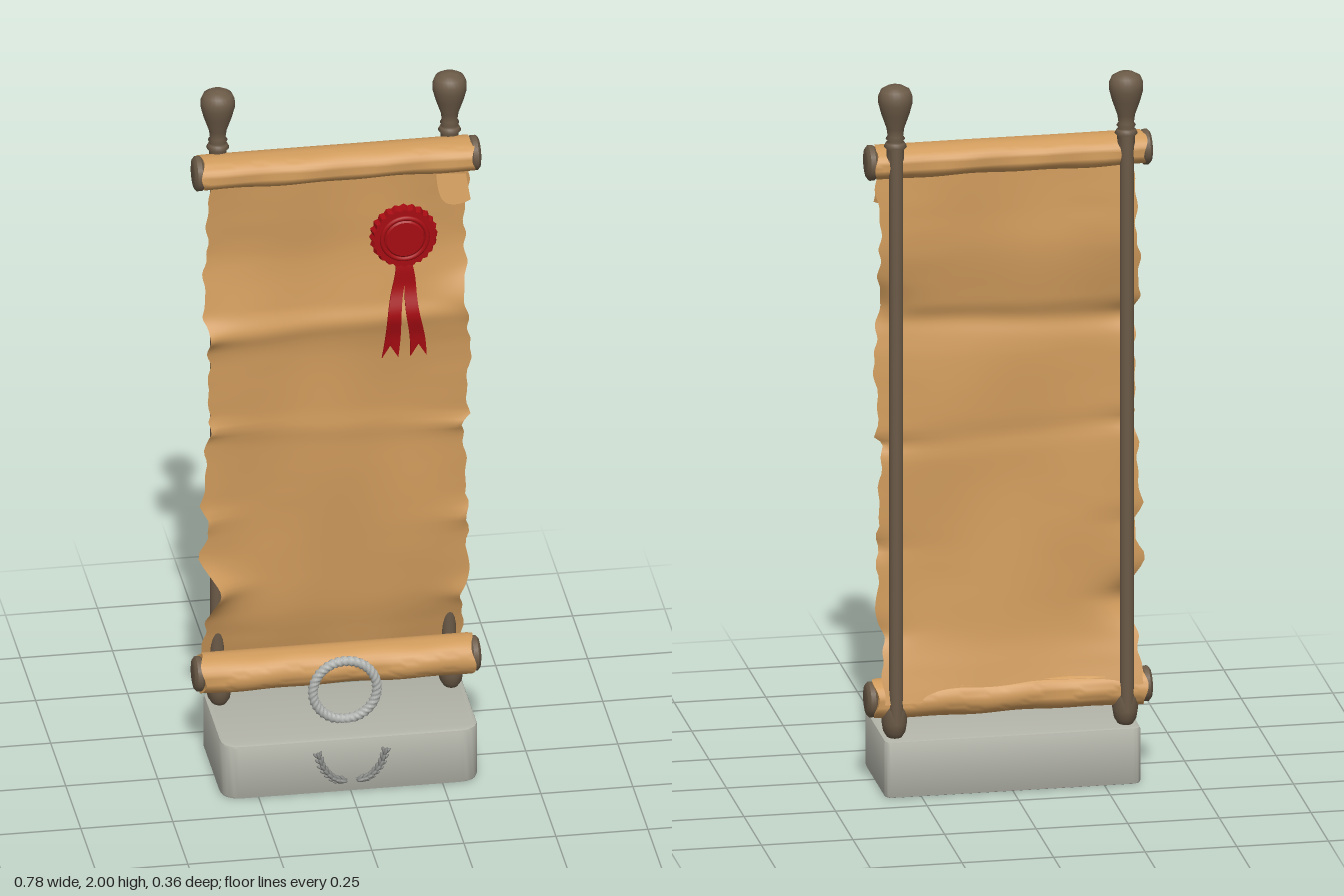
import * as THREE from 'three';
import { toCreasedNormals } from 'three/addons/utils/BufferGeometryUtils.js';

const mat = (name, color, side = THREE.FrontSide) => {
  const m = new THREE.MeshStandardMaterial({ color, side });
  m.name = name;
  return m;
};

export function createModel() {
  const model = new THREE.Group();
  const parchment = mat('parchment', 0xd09b5c, THREE.DoubleSide);
  const wood = mat('dark wood', 0x6b5a47);
  const stone = mat('pale stone', 0xb3b4a9);
  const silver = mat('silver', 0xb0b3b0);
  const pewter = mat('pewter', 0x858784);
  const red = mat('red wax and ribbon', 0xa50c12, THREE.DoubleSide);

  const add = (name, geo, material, x = 0, y = 0, z = 0, parent = model) => {
    const m = new THREE.Mesh(geo, material);
    m.name = name;
    m.position.set(x, y, z);
    parent.add(m);
    return m;
  };
  // Move every vertex by a rule, then refresh the normals
  const warp = (geo, rule) => {
    const p = geo.attributes.position, v = new THREE.Vector3();
    for (let i = 0; i < p.count; i++) {
      rule(v.fromBufferAttribute(p, i));
      p.setXYZ(i, v.x, v.y, v.z);
    }
    geo.computeVertexNormals();
    return geo;
  };
  const bump = (d, w) => Math.exp(-(d * d) / (w * w));
  const lathe = (pts, seg = 24) =>
    new THREE.LatheGeometry(pts.map(([r, y]) => new THREE.Vector2(r, y)), seg);

  // Stone base: rounder corners at the front than at the back
  const w = 0.342, f = -0.147, b = 0.167, rf = 0.05, rb = 0.015;
  const s = new THREE.Shape();
  s.moveTo(-w + rf, f).lineTo(w - rf, f).quadraticCurveTo(w, f, w, f + rf);
  s.lineTo(w, b - rb).quadraticCurveTo(w, b, w - rb, b);
  s.lineTo(-w + rb, b).quadraticCurveTo(-w, b, -w, b - rb);
  s.lineTo(-w, f + rf).quadraticCurveTo(-w, f, -w + rf, f);
  const slab = new THREE.ExtrudeGeometry(s, {
    depth: 0.144, bevelThickness: 0.008, bevelSize: 0.008, bevelSegments: 2, curveSegments: 8,
  });
  slab.rotateX(-Math.PI / 2);
  add('base', toCreasedNormals(slab, 0.6), stone, 0, 0.008, 0);

  // Posts with turned finials and feet
  const finial = [[0.024, 1.79], [0.024, 1.82], [0.031, 1.828], [0.026, 1.838], [0.02, 1.842], [0.026, 1.85],
    [0.021, 1.858], [0.024, 1.88], [0.038, 1.92], [0.046, 1.95], [0.046, 1.97], [0.039, 1.987],
    [0.022, 1.997], [0, 2]];
  const foot = [[0, 0.158], [0.02, 0.158], [0.03, 0.175], [0.034, 0.2], [0.033, 0.235], [0.027, 0.262],
    [0.012, 0.28], [0, 0.28]];
  for (const x of [-0.315, 0.315]) {
    const post = new THREE.Group();
    post.name = 'post';
    model.add(post);
    add('postShaft', new THREE.CylinderGeometry(0.019, 0.019, 1.63, 16), wood, x, 1.015, -0.146, post);
    add('finial', lathe(finial), wood, x, 0, -0.135, post);
    add('postFoot', lathe(foot), wood, x, 0, -0.119, post).scale.z = 1.35;
  }

  // Parchment rolls on wooden rods with turned ends
  const cap = [[0, -0.012], [0.042, -0.012], [0.048, -0.006], [0.048, 0.007], [0.04, 0.014], [0.03, 0.016], [0, 0.016]];
  const roller = (name, y, ry, rz, seed) => {
    const g = new THREE.Group();
    g.name = name;
    g.position.set(0, y, -0.096);
    model.add(g);
    const tube = new THREE.CylinderGeometry(1, 1, 0.734, 32, 40);
    tube.rotateZ(Math.PI / 2);
    warp(tube, (v) => {
      const a = Math.atan2(v.z, v.y);
      const k = 1 + 0.03 * Math.sin(v.x * 13 + seed + a) + 0.025 * Math.sin(v.x * 29 + 2 * a + seed * 2);
      if (Math.abs(v.x) > 0.36) v.x += 0.006 * Math.sin(3 * a + seed);
      v.y *= ry * k;
      v.z *= rz * k;
    });
    add('parchmentRoll', toCreasedNormals(tube, 0.8), parchment, 0, 0, 0, g);
    // Loose outer edge lying along the roll
    const flap = warp(new THREE.PlaneGeometry(0.725, 1, 40, 6), (v) => {
      const a = 0.35 - (v.y + 0.5) * 1.1 + 0.06 * Math.sin(v.x * 17 + seed);
      v.y = (ry + 0.002) * Math.cos(a) * 1.02;
      v.z = (rz + 0.002) * Math.sin(a) * 1.02;
    });
    add('rollEdge', flap, parchment, 0, 0, 0, g);
    for (const side of [-1, 1]) {
      const end = lathe(cap, 20);
      end.rotateZ(-side * Math.PI / 2);
      add('rodEnd', toCreasedNormals(end, 0.6), wood, side * 0.374, 0, 0, g);
    }
  };
  roller('topRoller', 1.772, 0.044, 0.057, 0.5);
  roller('bottomRoller', 0.258, 0.052, 0.059, 2.3);

  // Hanging sheet: depth profile from bottom to top, ragged and curled edges
  const profile = new THREE.CatmullRomCurve3([[0.26, -0.15], [0.34, -0.13], [0.42, -0.112], [0.55, -0.1],
    [0.8, -0.09], [1.0, -0.084], [1.2, -0.076], [1.3, -0.066], [1.36, -0.076], [1.5, -0.095],
    [1.62, -0.092], [1.76, -0.085]].map(([y, z]) => new THREE.Vector3(0, y, z)));
  const curls = [[-1, 1.3, 0.03, 0.02], [-1, 1.0, 0.02, 0.012], [-1, 0.5, 0.06, 0.035], [-1, 0.72, 0.03, 0.01],
    [1, 1.36, 0.045, 0.02], [1, 0.97, 0.02, 0.012], [1, 0.68, 0.03, 0.015], [1, 0.45, 0.04, 0.012]];
  const sheet = warp(new THREE.PlaneGeometry(1, 1, 48, 130), (v) => {
    const u = v.x * 2, p = profile.getPoint(v.y + 0.5), y = p.y;
    const edge = Math.abs(u) ** 6, side = Math.sign(u);
    let half = 0.353 + 0.006 * Math.sin(y * 11 + side) + 0.004 * Math.sin(y * 37 + side * 2) + 0.003 * Math.sin(y * 83);
    let z = p.z + 0.004 * Math.sin(y * 9 + u * 3) + 0.003 * Math.sin(u * 7 - y * 5);
    z += 0.006 * bump(y - 1.3 - 0.02 * u, 0.03) + 0.004 * bump(y - 0.98 + 0.02 * u, 0.03);
    for (const [cs, cy, cw, amt] of curls) {
      if (cs !== side) continue;
      const k = bump(y - cy, cw);
      z += amt * k * edge;
      half -= amt * 0.7 * k;
      half += amt * 0.7 * bump(y - cy - cw * 1.6, cw * 0.6);
    }
    v.set(u * half, y + 0.008 * edge * Math.sin(y * 23), z);
  });
  add('parchmentSheet', sheet, parchment);

  // Folded corner curling forward at the upper left of the sheet
  const fold = new THREE.Shape();
  fold.moveTo(0.36, 1.65).lineTo(0.35, 1.72).lineTo(0.27, 1.725).quadraticCurveTo(0.27, 1.65, 0.3, 1.642)
    .quadraticCurveTo(0.33, 1.635, 0.36, 1.65);
  const foldGeo = warp(new THREE.ShapeGeometry(fold, 8), (v) => { v.z = -0.078 + (1.72 - v.y) * 0.25; });
  add('foldedCorner', foldGeo, parchment);

  // Wax seal: scalloped rim, raised ring and centre
  const seal = new THREE.Group();
  seal.name = 'seal';
  seal.position.set(0.18, 1.55, -0.085);
  model.add(seal);
  const wax = new THREE.CylinderGeometry(0.084, 0.09, 0.024, 96);
  wax.rotateX(Math.PI / 2);
  warp(wax, (v) => {
    const k = 1 + 0.035 * Math.cos(Math.atan2(v.y, v.x) * 24);
    v.x *= k;
    v.y *= k;
  });
  add('sealRim', toCreasedNormals(wax, 0.7), red, 0, 0, 0.018, seal);
  add('sealRing', new THREE.TorusGeometry(0.061, 0.007, 8, 40), red, 0, 0, 0.031, seal);
  const disc = new THREE.CylinderGeometry(0.05, 0.058, 0.008, 32);
  disc.rotateX(Math.PI / 2);
  add('sealCentre', toCreasedNormals(disc, 0.5), red, 0, 0, 0.033, seal);

  // Two ribbon tails with swallow-tail ends
  for (const [topX, endX] of [[0.172, 0.14], [0.186, 0.217]]) {
    const tail = warp(new THREE.BoxGeometry(1, 1, 0.006, 6, 30, 1), (v) => {
      const t = 0.5 - v.y, across = v.x * 2;
      const y = 1.48 - 0.272 * t + 0.018 * t ** 8 * (1 - 2 * Math.abs(across));
      v.x = topX + (endX - topX) * t + across * (0.013 + 0.009 * t) + 0.003 * Math.sin(t * 9);
      v.z += -0.07 + 0.024 * bump(t - 0.62, 0.3) + 0.003 * Math.sin(t * 14);
      v.y = y;
    });
    add('ribbonTail', toCreasedNormals(tail, 0.7), red);
  }

  // Twisted rope ring standing on the base
  const R = 0.087, rope = new THREE.TorusGeometry(R, 0.0125, 16, 220);
  warp(rope, (v) => {
    const a = Math.atan2(v.y, v.x), d = Math.hypot(v.x, v.y) - R, c = Math.atan2(v.z, d);
    const r = 0.0125 * (1 + 0.14 * Math.cos(3 * c + 36 * a));
    const q = R + r * Math.cos(c);
    v.set(q * Math.cos(a), q * Math.sin(a), r * Math.sin(c));
  });
  add('ropeRing', rope, silver, 0, 0.254, 0.052);

  // Laurel branches on the front of the base
  const laurel = new THREE.Group();
  laurel.name = 'laurel';
  laurel.position.z = 0.162;
  model.add(laurel);
  for (const side of [-1, 1]) {
    const stem = new THREE.CatmullRomCurve3([[0.012, 0.04], [0.045, 0.05], [0.075, 0.08], [0.092, 0.125]]
      .map(([x, y]) => new THREE.Vector3(x * side, y, 0)));
    add('laurelStem', new THREE.TubeGeometry(stem, 20, 0.004, 6), pewter, 0, 0, 0, laurel);
    for (let i = 0; i < 8; i++) {
      const t = 0.05 + i * 0.125, p = stem.getPoint(t), d = stem.getTangent(t);
      const along = Math.atan2(d.y, d.x);
      for (const spread of [-1, 0, 1]) {
        const ang = along + spread * 0.55;
        const leaf = add('laurelLeaf', new THREE.SphereGeometry(1, 8, 6), pewter,
          p.x + Math.cos(ang) * 0.009, p.y + Math.sin(ang) * 0.009, spread ? 0.006 : 0.013, laurel);
        leaf.scale.set(0.0135, 0.0048, 0.006);
        leaf.rotation.z = ang;
      }
    }
  }
  return model;
}
